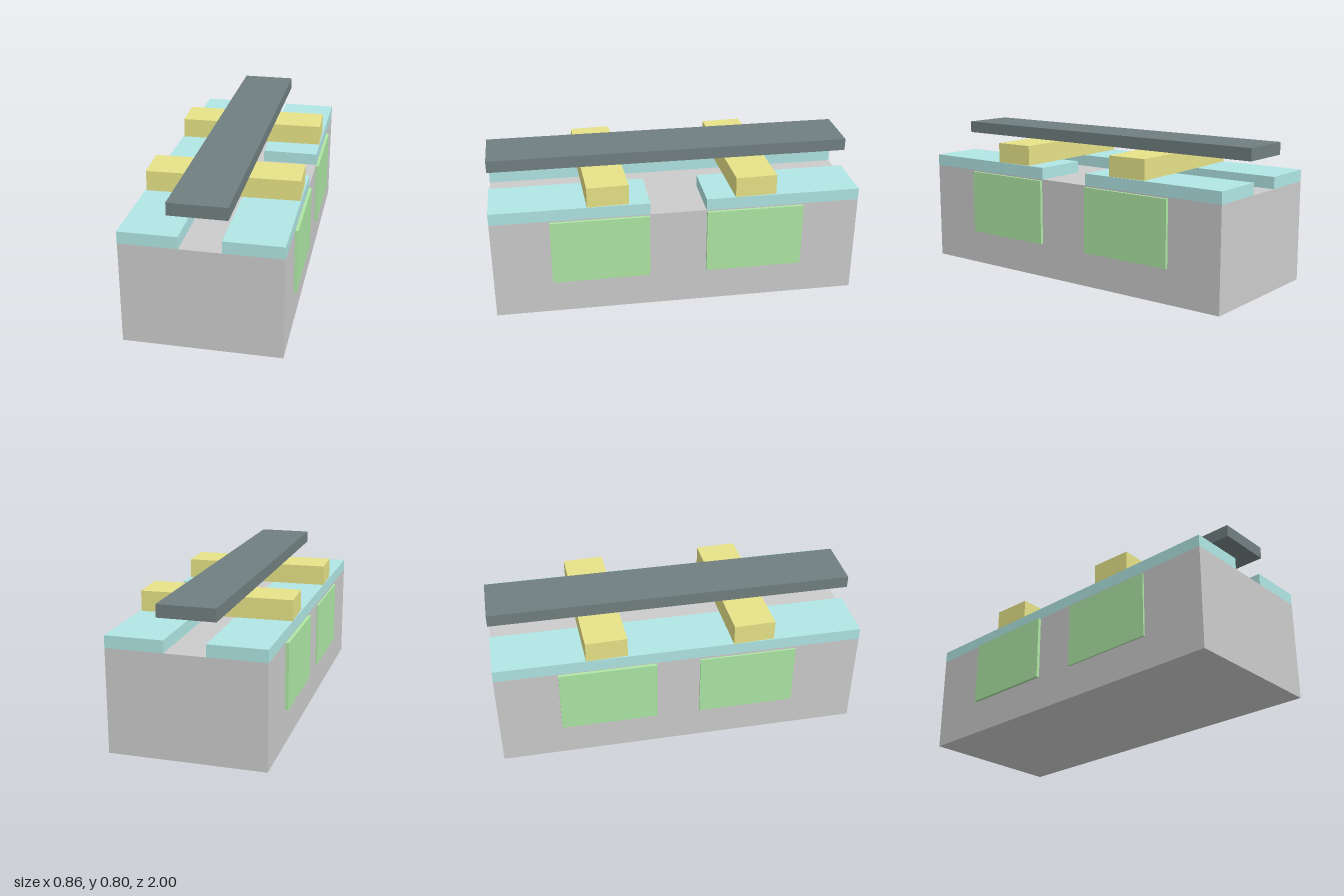
import * as THREE from 'three';

const mat = (color) => new THREE.MeshStandardMaterial({ color });

export function createModel() {
  const model = new THREE.Group();
  const grey = mat(0xcccccc);
  const teal = mat(0xb0e6e4);
  const gold = mat(0xe6e287);
  const green = mat(0xaee7a5);
  const slate = mat(0x717f80);

  // Box given by its minimum and maximum on each axis
  function block(name, material, [x0, x1], [y0, y1], [z0, z1]) {
    const mesh = new THREE.Mesh(new THREE.BoxGeometry(x1 - x0, y1 - y0, z1 - z0), material);
    mesh.position.set((x0 + x1) / 2, (y0 + y1) / 2, (z0 + z1) / 2);
    mesh.name = name;
    model.add(mesh);
    return mesh;
  }

  // Main body
  block('body', grey, [-0.414, 0.414], [0, 0.557], [-1, 1]);

  // Planks on top: one full length, one split by a gap
  const plankY = [0.557, 0.622];
  block('rightPlank', teal, [-0.414, -0.108], plankY, [-1, 1]);
  block('leftFrontPlank', teal, [0.108, 0.414], plankY, [0.15, 1]);
  block('leftRearPlank', teal, [0.108, 0.414], plankY, [-1, -0.155]);

  // Cross bars, turned slightly about the vertical
  for (const [name, z] of [['frontCrossBar', 0.387], ['rearCrossBar', -0.412]]) {
    const bar = block(name, gold, [-0.41, 0.408], [0.622, 0.733], [z - 0.112, z + 0.112]);
    bar.rotation.y = 0.034;
  }

  // Long top rail
  block('topRail', slate, [-0.162, 0.141], [0.733, 0.8], [-1, 1]);

  // Side panels
  block('leftFrontPanel', green, [0.41, 0.43], [0.19, 0.55], [0.155, 0.686]);
  block('leftRearPanel', green, [0.41, 0.43], [0.19, 0.55], [-0.69, -0.158]);
  block('rightFrontPanel', green, [-0.424, -0.404], [0.185, 0.545], [0.105, 0.637]);
  block('rightRearPanel', green, [-0.432, -0.412], [0.193, 0.553], [-0.663, -0.134]);

  return model;
}
